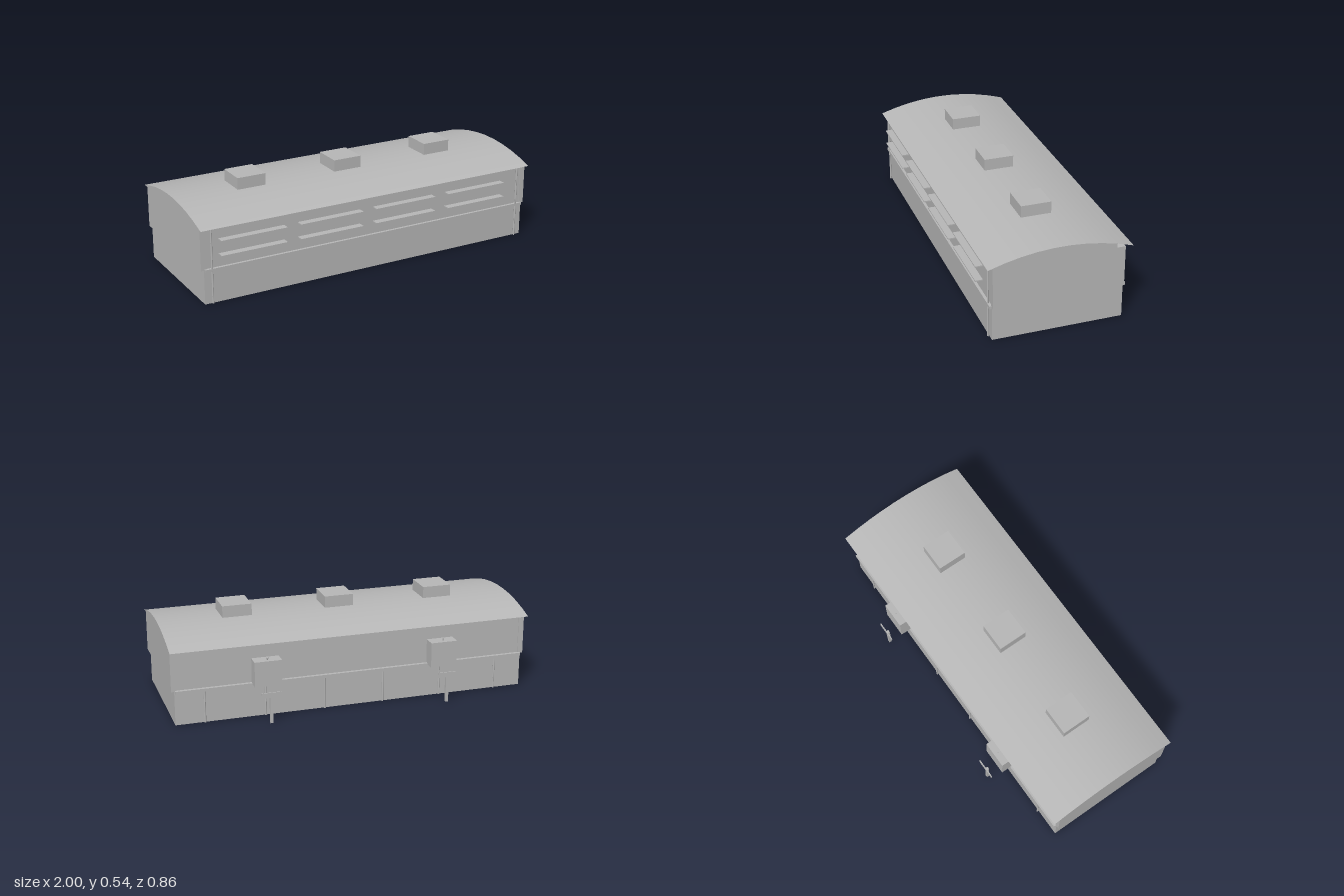
import * as THREE from 'three';

const FRONT = 0.394, BACK = -0.302;      // wall planes
const EAVE_F = 0.422, EAVE_B = -0.342;   // roof edges
const EAVE_Y = 0.411, RISE = 0.064, SEGS = 9;

// height of the vaulted roof at a given z
function roofY(z) {
  const half = (EAVE_F - EAVE_B) / 2, t = (z - (EAVE_F + EAVE_B) / 2) / half;
  return EAVE_Y + RISE * (1 - t * t);
}

export function createModel() {
  const model = new THREE.Group();
  model.name = 'building';
  const grey = new THREE.MeshStandardMaterial({ color: 0xb8b8b8, side: THREE.DoubleSide });
  grey.name = 'plainGrey';

  const add = (name, geometry, x = 0, y = 0, z = 0) => {
    const mesh = new THREE.Mesh(geometry, grey);
    mesh.name = name;
    mesh.position.set(x, y, z);
    model.add(mesh);
    return mesh;
  };
  // box given by its limits on each axis
  const box = (name, x0, x1, y0, y1, z0, z1) => add(name,
    new THREE.BoxGeometry(x1 - x0, y1 - y0, z1 - z0),
    (x0 + x1) / 2, (y0 + y1) / 2, (z0 + z1) / 2);
  const pipe = (name, x, y0, y1, z, r = 0.005) => add(name,
    new THREE.CylinderGeometry(r, r, y1 - y0, 8), x, (y0 + y1) / 2, z);

  // lower storey: four thin walls, open underneath
  const depth = FRONT - BACK, midZ = (FRONT + BACK) / 2, lowX = 0.978, lowTop = 0.187;
  for (const s of [1, -1]) {
    add('lowerLongWall', new THREE.PlaneGeometry(lowX * 2, lowTop), 0, lowTop / 2, midZ + s * depth / 2)
      .rotation.y = s > 0 ? 0 : Math.PI;
    add('lowerEndWall', new THREE.PlaneGeometry(depth, lowTop), s * lowX, lowTop / 2, midZ)
      .rotation.y = s * Math.PI / 2;
  }

  // upper storey: main body with slightly proud end blocks
  box('upperBody', -0.964, 0.964, lowTop, EAVE_Y, BACK + 0.004, FRONT - 0.004);
  for (const s of [1, -1]) {
    const a = s * 0.964, b = s * 0.994;
    box('upperEndBlock', Math.min(a, b), Math.max(a, b), lowTop, EAVE_Y, BACK, FRONT);
  }

  // ledges between the storeys
  box('frontLedge', -0.974, 0.974, 0.177, 0.192, FRONT - 0.006, 0.405);
  box('backLedge', -0.974, 0.974, 0.175, 0.192, -0.316, BACK + 0.006);

  // vaulted roof sheet
  const roof = new THREE.PlaneGeometry(2, EAVE_F - EAVE_B, 1, SEGS);
  roof.rotateX(-Math.PI / 2);
  roof.translate(0, 0, (EAVE_F + EAVE_B) / 2);
  const p = roof.attributes.position;
  for (let i = 0; i < p.count; i++) p.setY(i, roofY(p.getZ(i)));
  roof.computeVertexNormals();
  add('roof', roof);

  // gable infill at both ends; the right one stops one segment short
  for (const s of [1, -1]) {
    const last = s > 0 ? SEGS - 1 : SEGS;
    const shape = new THREE.Shape();
    shape.moveTo(-EAVE_F, EAVE_Y);
    let z = EAVE_F;
    for (let i = 1; i <= last; i++) {
      z = EAVE_F + (EAVE_B - EAVE_F) * i / SEGS;
      shape.lineTo(-z, roofY(z));
    }
    shape.lineTo(-z, EAVE_Y);
    const gable = new THREE.ShapeGeometry(shape);
    gable.rotateY(Math.PI / 2);
    add('gable', gable, s * 0.994);
  }

  // roof vents
  for (const x of [-0.577, -0.002, 0.572])
    box('roofVent', x - 0.081, x + 0.081, 0.474, 0.538, -0.037, 0.127);

  // front slats in two rows
  for (const x of [-0.708, -0.26, 0.19, 0.645])
    for (const y of [0.26, 0.341])
      box('slat', x - 0.185, x + 0.185, y - 0.003, y + 0.003, FRONT - 0.006, 0.43);

  // downpipes on the front and posts along the back
  for (const x of [-0.936, 0.936]) pipe('downpipe', x, 0, EAVE_Y, 0.4);
  for (let i = 0; i < 6; i++) pipe('backPost', (i - 2.5) * 0.328, 0, 0.176, -0.307);

  // wall cabinets with a small cap pin, and a sign stand behind each
  for (const x of [-0.494, 0.49]) {
    box('cabinet', x - 0.074, x + 0.074, 0.186, 0.325, -0.369, BACK + 0.006);
    pipe('cabinetPin', x, 0.324, 0.334, -0.345, 0.003);
    pipe('pinCap', x, 0.332, 0.338, -0.345, 0.006);
    box('standPost', x - 0.008, x + 0.008, 0, 0.146, -0.425, -0.41);
    box('standPlate', x - 0.056, x + 0.056, 0.145, 0.173, -0.43, -0.425);
  }
  return model;
}
